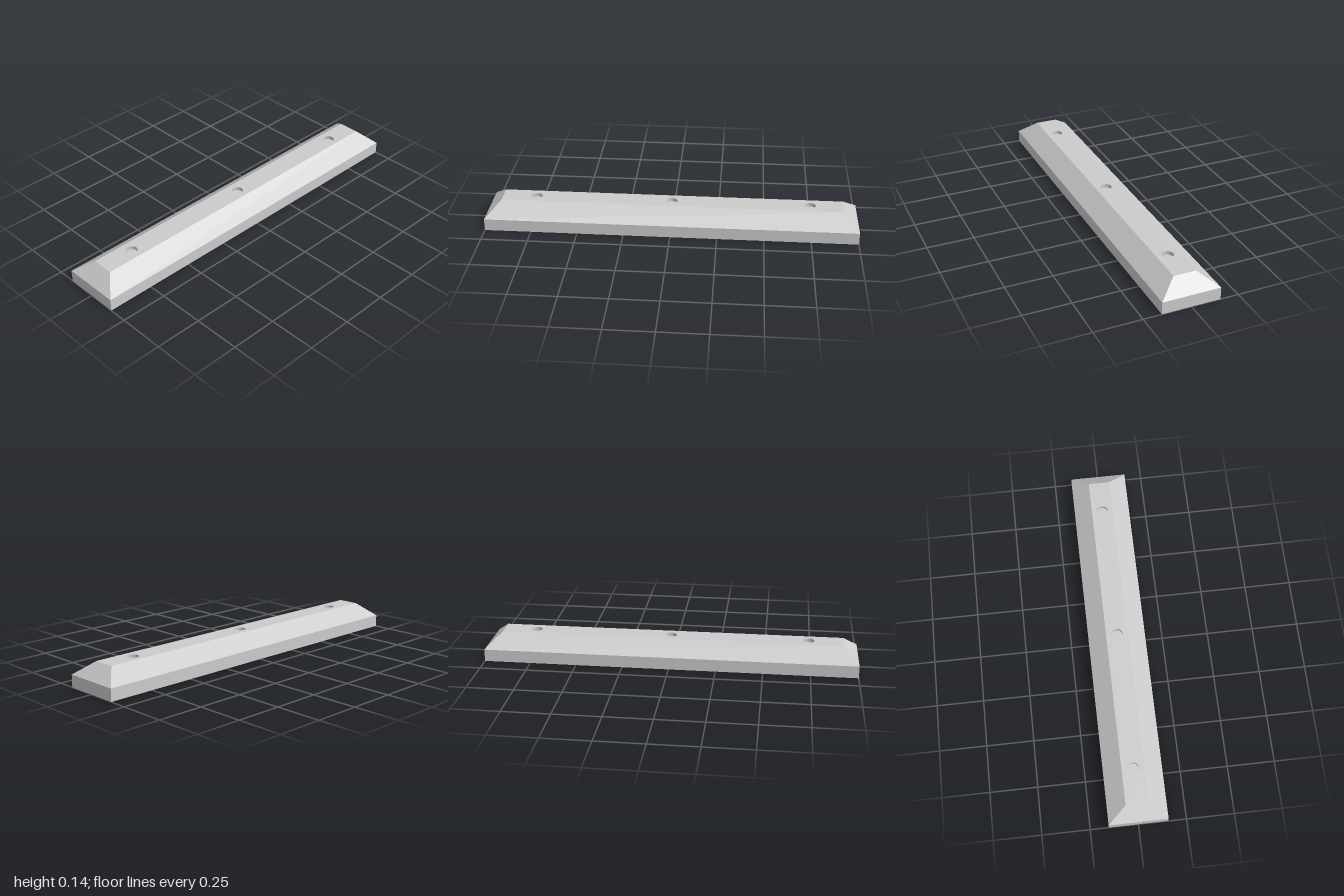
import * as THREE from 'three';

const HALF_W = 0.154, HALF_L = 1, LEDGE = 0.066;     // plinth
const TOP_W = 0.059, TOP_L = 0.92, HEIGHT = 0.138;   // flat top
const HOLE_R = 0.03, HOLE_DEPTH = 0.02, HOLES_Z = [-0.742, 0, 0.736];

const ring = (w, l, y) => [[-w, y, l], [w, y, l], [w, y, -l], [-w, y, -l]];

// Flat-faced quads from a list of four-corner faces
function quads(faces) {
  const pos = faces.flatMap(([a, b, c, d]) => [a, b, c, a, c, d].flat());
  const geo = new THREE.BufferGeometry();
  geo.setAttribute('position', new THREE.Float32BufferAttribute(pos, 3));
  geo.computeVertexNormals();
  return geo;
}

// Four walls joining two rectangular rings
const walls = (lo, hi) => lo.map((p, i) => [p, lo[(i + 1) % 4], hi[(i + 1) % 4], hi[i]]);

export function createModel() {
  const group = new THREE.Group();
  const mat = new THREE.MeshStandardMaterial({ color: 0xcccccc });
  const inner = new THREE.MeshStandardMaterial({ color: 0xcccccc, side: THREE.BackSide });
  const add = (name, geo, material = mat) => {
    const mesh = new THREE.Mesh(geo, material);
    mesh.name = name;
    group.add(mesh);
    return mesh;
  };

  const foot = ring(HALF_W, HALF_L, 0);
  const ledge = ring(HALF_W, HALF_L, LEDGE);
  const crown = ring(TOP_W, TOP_L, HEIGHT);

  // Straight base with its underside, then the bevelled sides
  add('base', quads([...walls(foot, ledge), [...foot].reverse()]));
  add('bevel', quads(walls(ledge, crown)));

  // Flat top pierced by the screw holes
  const top = new THREE.Shape(crown.map(([x, , z]) => new THREE.Vector2(x, -z)));
  for (const z of HOLES_Z) {
    top.holes.push(new THREE.Path().absarc(0, -z, HOLE_R, 0, Math.PI * 2, true));
  }
  add('topFace', new THREE.ShapeGeometry(top, 16).rotateX(-Math.PI / 2)).position.y = HEIGHT;

  // Shallow blind holes
  for (const z of HOLES_Z) {
    add('holeWall', new THREE.CylinderGeometry(HOLE_R, HOLE_R, HOLE_DEPTH, 32, 1, true), inner)
      .position.set(0, HEIGHT - HOLE_DEPTH / 2, z);
    add('holeFloor', new THREE.CircleGeometry(HOLE_R, 32).rotateX(-Math.PI / 2))
      .position.set(0, HEIGHT - HOLE_DEPTH, z);
  }
  return group;
}
